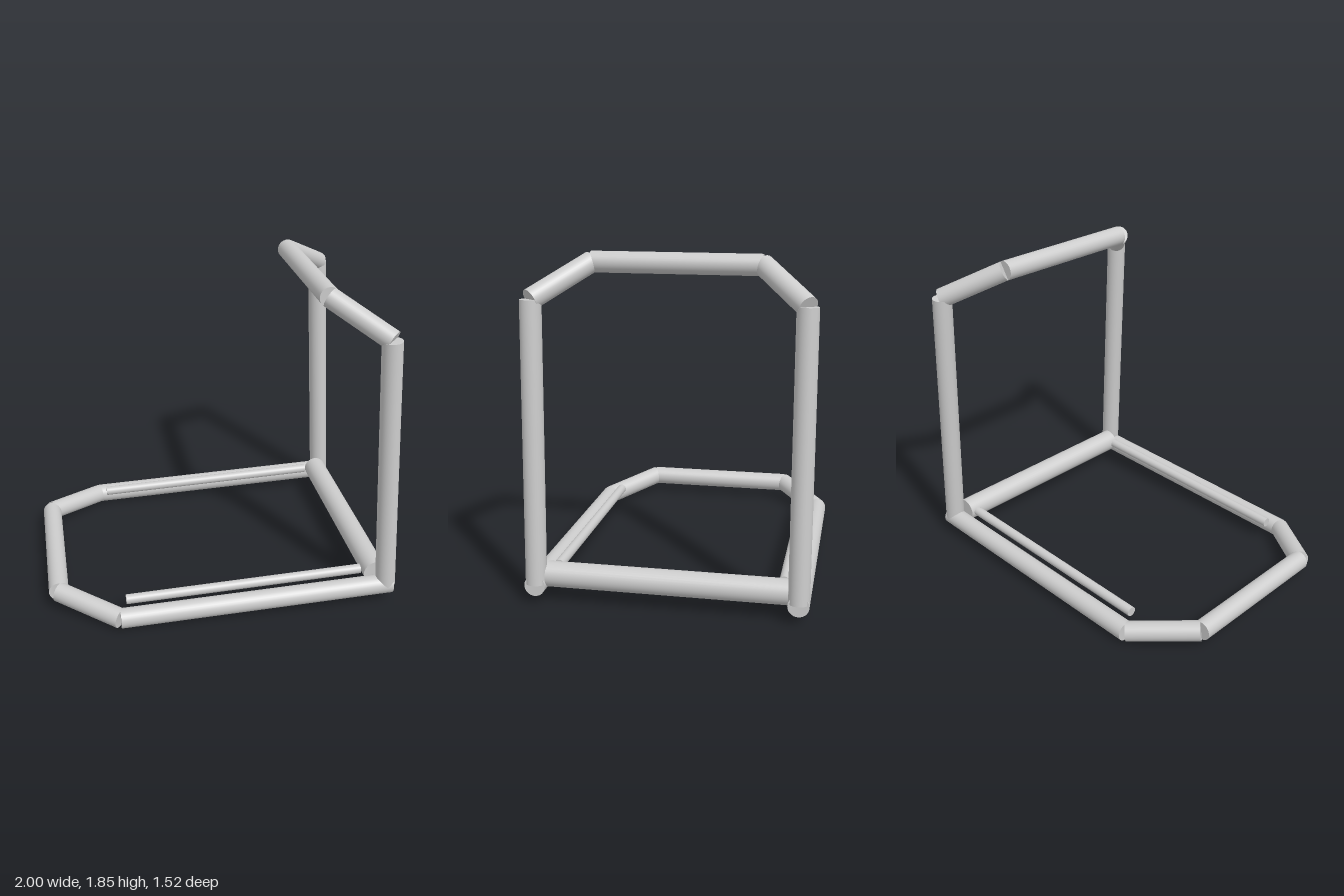
import * as THREE from 'three';

const material = new THREE.MeshStandardMaterial({ color: 0xcccccc });
const UP = new THREE.Vector3(0, 1, 0);

// Straight capped tube between two points
function tube(name, from, to, radius) {
  const a = new THREE.Vector3(...from);
  const b = new THREE.Vector3(...to);
  const dir = b.clone().sub(a);
  const mesh = new THREE.Mesh(new THREE.CylinderGeometry(radius, radius, dir.length(), 32), material);
  mesh.name = name;
  mesh.position.copy(a).add(b).multiplyScalar(0.5);
  mesh.quaternion.setFromUnitVectors(UP, dir.normalize());
  return mesh;
}

export function createModel() {
  const model = new THREE.Group();
  model.name = 'tubularFrame';
  const R = 0.057;

  // Mirrored side tubes
  for (const [side, s] of [['front', 1], ['back', -1]]) {
    model.add(
      tube(side + 'BaseRail', [-0.612, 0.058, s * 0.705], [0.975, 0.103, s * 0.705], R),
      tube(side + 'BaseCorner', [-0.612, 0.058, s * 0.705], [-0.943, 0.104, s * 0.455], R),
      tube(side + 'InnerRod', [-0.57, 0.12, s * 0.618], [0.81, 0.162, s * 0.618], 0.028),
      tube(side + 'Post', [0.94, 0.108, s * 0.705], [0.855, 1.63, s * 0.705], R),
      tube(side + 'TopCorner', [0.86, 1.63, s * 0.705], [0.585, 1.797, s * 0.455], R),
    );
  }

  // Cross tubes
  model.add(
    tube('baseEndBar', [-0.943, 0.104, -0.455], [-0.943, 0.104, 0.455], R),
    tube('topBar', [0.585, 1.797, -0.455], [0.585, 1.797, 0.455], R),
    tube('lowerCrossbar', [0.896, 0.146, -0.65], [0.896, 0.146, 0.65], 0.069),
  );
  return model;
}
